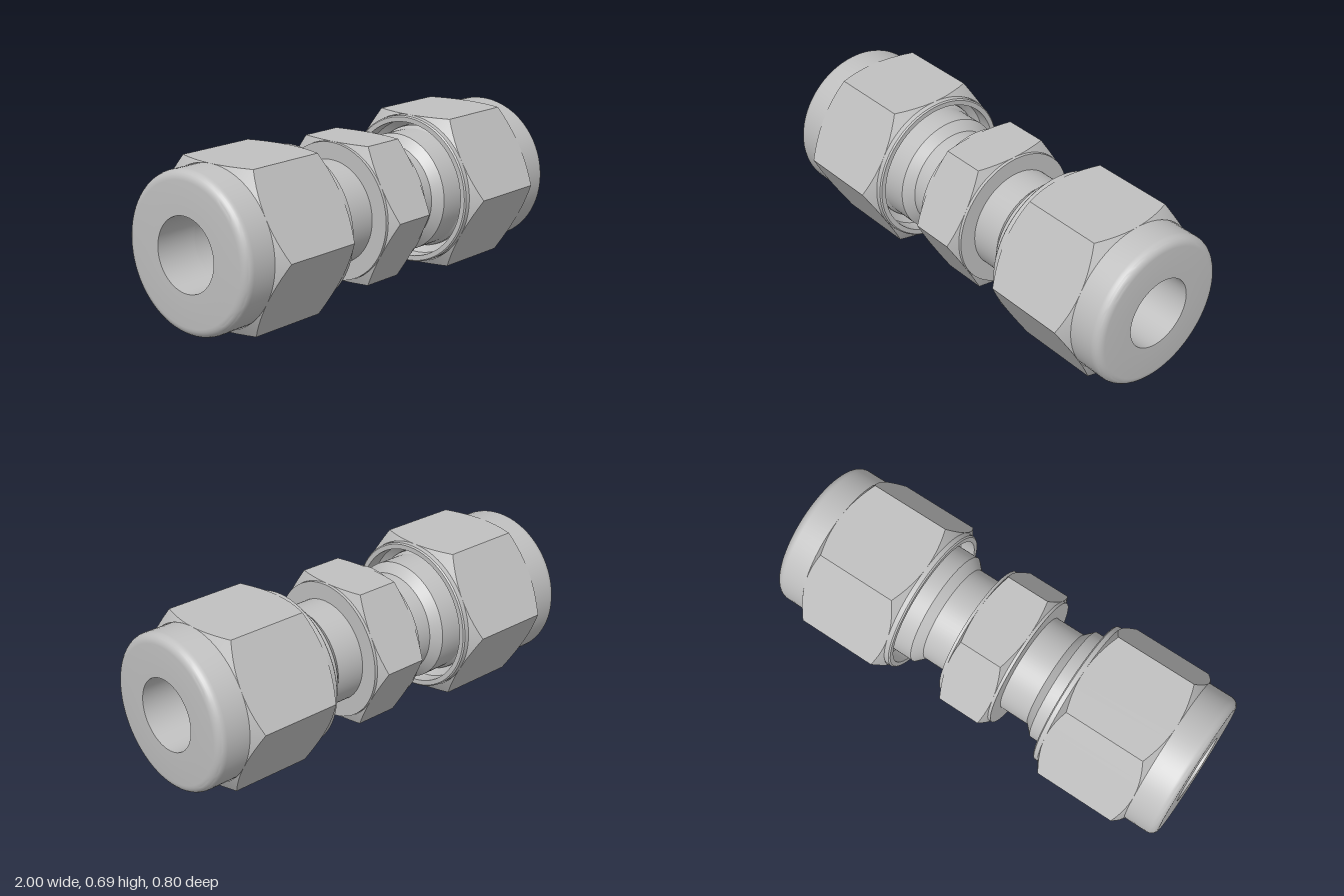
import * as THREE from 'three';
import { toCreasedNormals } from 'three/addons/utils/BufferGeometryUtils.js';

const SEG = 72;
const AXIS_Y = 0.345;

// Lathe around the x axis; profile points are [radius, x]
function turned(profile) {
  const g = new THREE.LatheGeometry(profile.map(([r, x]) => new THREE.Vector2(r, x)), SEG);
  g.rotateZ(-Math.PI / 2);
  return toCreasedNormals(g, 0.5);
}

// Hexagonal band along x whose corners are cut back by a cone at both ends
function chamferedHex(x0, x1, apothem, slope) {
  const pos = [], index = [];
  for (let j = 0; j <= SEG; j++) {
    const t = (j / SEG) * Math.PI * 2;
    const fromFlat = t - Math.round(t / (Math.PI / 3)) * (Math.PI / 3);
    const h = apothem / Math.cos(fromFlat);
    const cut = (h - apothem) * slope;
    const c = Math.cos(t), s = Math.sin(t);
    for (const [x, r] of [[x0, apothem], [x0 + cut, h], [x1 - cut, h], [x1, apothem]]) {
      pos.push(x, r * c, r * s);
    }
  }
  for (let j = 0; j < SEG; j++) {
    for (let i = 0; i < 3; i++) {
      const a = j * 4 + i, b = a + 4;
      index.push(a, b, a + 1, b, b + 1, a + 1);
    }
  }
  const g = new THREE.BufferGeometry();
  g.setAttribute('position', new THREE.Float32BufferAttribute(pos, 3));
  g.setIndex(index);
  return toCreasedNormals(g, 0.5);
}

export function createModel() {
  const steel = new THREE.MeshStandardMaterial({ color: 0xc0c0c0, side: THREE.DoubleSide });
  steel.name = 'steel';
  const model = new THREE.Group();
  model.name = 'tubeFitting';
  const add = (parent, geometry, name) => {
    const mesh = new THREE.Mesh(geometry, steel);
    mesh.name = name;
    parent.add(mesh);
  };

  // Nut shell: thin lip, round shoulder with a rounded end, through hole and recess
  const nutProfile = [[0.315, 0.378], [0.337, 0.378], [0.343, 0.384], [0.343, 0.96]];
  for (let i = 1; i <= 6; i++) {
    const a = (i / 6) * Math.PI / 2;
    nutProfile.push([0.303 + 0.04 * Math.cos(a), 0.96 + 0.04 * Math.sin(a)]);
  }
  nutProfile.push([0.16, 1], [0.16, 0.8], [0.285, 0.75], [0.285, 0.48], [0.315, 0.45], [0.315, 0.378]);
  const nutShell = turned(nutProfile);
  const nutHex = chamferedHex(0.405, 0.85, 0.345, 0.68);
  for (const [name, turn] of [['leftNut', 0], ['rightNut', Math.PI]]) {
    const nut = new THREE.Group();
    nut.name = name;
    nut.rotation.y = turn;
    add(nut, nutShell, 'nutShell');
    add(nut, nutHex, 'nutHex');
    model.add(nut);
  }

  // Body: neck, cone, collar and the thread inside each nut
  const half = [[0.232, 0.275], [0.272, 0.315], [0.272, 0.45]];
  for (let i = 0; i < 6; i++) {
    const x = 0.47 + i * 0.04;
    half.push([0.284, x], [0.268, x + 0.02]);
  }
  half.push([0.2, 0.74], [0.16, 0.8]);
  const mirrored = half.map(([r, x]) => [r, -x]).reverse();
  add(model, turned([...mirrored, ...half, [0.16, -0.8]]), 'body');

  // Middle wrench hex with a round step on each side
  add(model, chamferedHex(-0.122, 0.122, 0.31, 0.45), 'bodyHex');
  add(model, turned([[0.23, -0.135], [0.309, -0.135], [0.309, 0.135], [0.23, 0.135]]), 'bodyHexStep');

  // Narrow liner in the middle of the bore
  add(model, turned([[0.127, -0.3], [0.125, 0], [0.127, 0.3]]), 'boreLiner');

  model.children.forEach((part) => { part.position.y = AXIS_Y; });
  return model;
}
